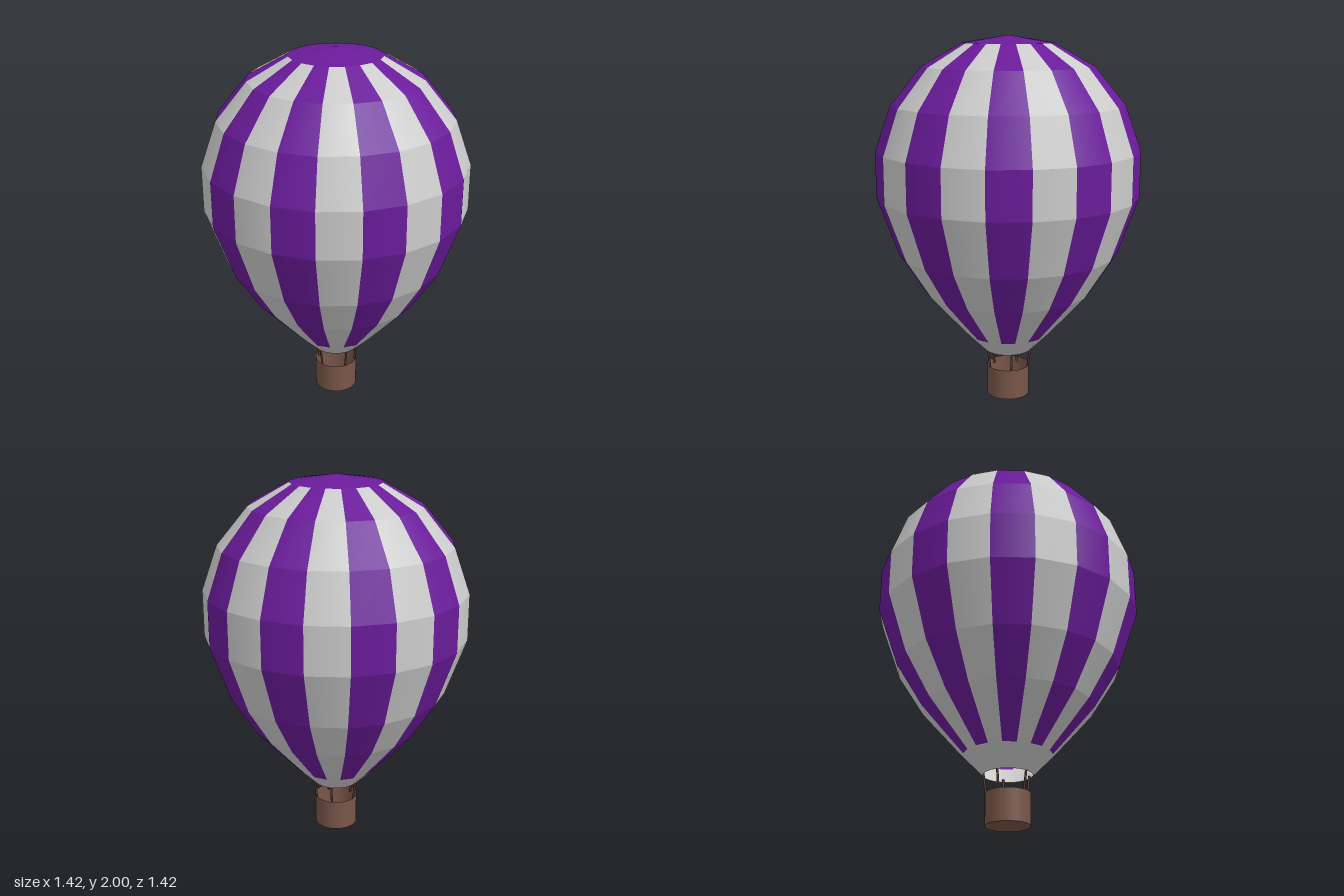
import * as THREE from 'three';
import { mergeGeometries } from 'three/addons/utils/BufferGeometryUtils.js';

const SIDES = 20;
const STEP = (Math.PI * 2) / SIDES;

// Envelope rings from crown to skirt: [radius, height]
const RINGS = [
  [0.245, 1.96], [0.46, 1.84], [0.625, 1.64], [0.71, 1.4], [0.71, 1.15],
  [0.6, 0.84], [0.46, 0.62], [0.335, 0.48], [0.235, 0.37],
];

const material = (color) => new THREE.MeshStandardMaterial({ color, side: THREE.DoubleSide });

// Open ring (or slice of one) between two [radius, height] pairs
function band([rTop, yTop], [rBottom, yBottom], sides = SIDES, start = 0, length = Math.PI * 2) {
  return new THREE.CylinderGeometry(rTop, rBottom, yTop - yBottom, sides, 1, true, start, length)
    .translate(0, (yTop + yBottom) / 2, 0);
}

// Every second gore of the envelope, one creased band at a time
function stripes(offset) {
  const parts = [];
  for (let gore = offset; gore < SIDES; gore += 2) {
    for (let i = 0; i < RINGS.length - 1; i++) {
      parts.push(band(RINGS[i], RINGS[i + 1], 1, gore * STEP, STEP));
    }
  }
  return mergeGeometries(parts);
}

export function createModel() {
  const group = new THREE.Group();
  const purple = material(0x6a1b9a);
  const grey = material(0xcccccc);
  const brown = material(0x795548);
  const darkBrown = material(0x5d4037);

  const add = (name, geometry, mat) => {
    const mesh = new THREE.Mesh(geometry, mat);
    mesh.name = name;
    group.add(mesh);
    return mesh;
  };

  // Envelope
  add('purpleStripes', stripes(0), purple);
  add('greyStripes', stripes(1), grey);
  add('crown', band([0, 2], RINGS[0]), purple);
  add('skirt', band(RINGS[RINGS.length - 1], [0.13, 0.265]), grey);

  // Basket, open at the top
  add('basketWall', band([0.118, 0.17], [0.118, 0], 32), brown);
  add('basketFloor', new THREE.CircleGeometry(0.118, 32).rotateX(Math.PI / 2), brown);

  // Ropes from the basket rim to the skirt
  for (let i = 0; i < 5; i++) {
    const angle = Math.PI + (i * Math.PI * 2) / 5;
    const at = (r, y) => new THREE.Vector3(r * Math.cos(angle), y, r * Math.sin(angle));
    const path = new THREE.LineCurve3(at(0.109, 0.14), at(0.128, 0.28));
    add(`rope${i + 1}`, new THREE.TubeGeometry(path, 1, 0.006, 8), darkBrown);
  }

  return group;
}
